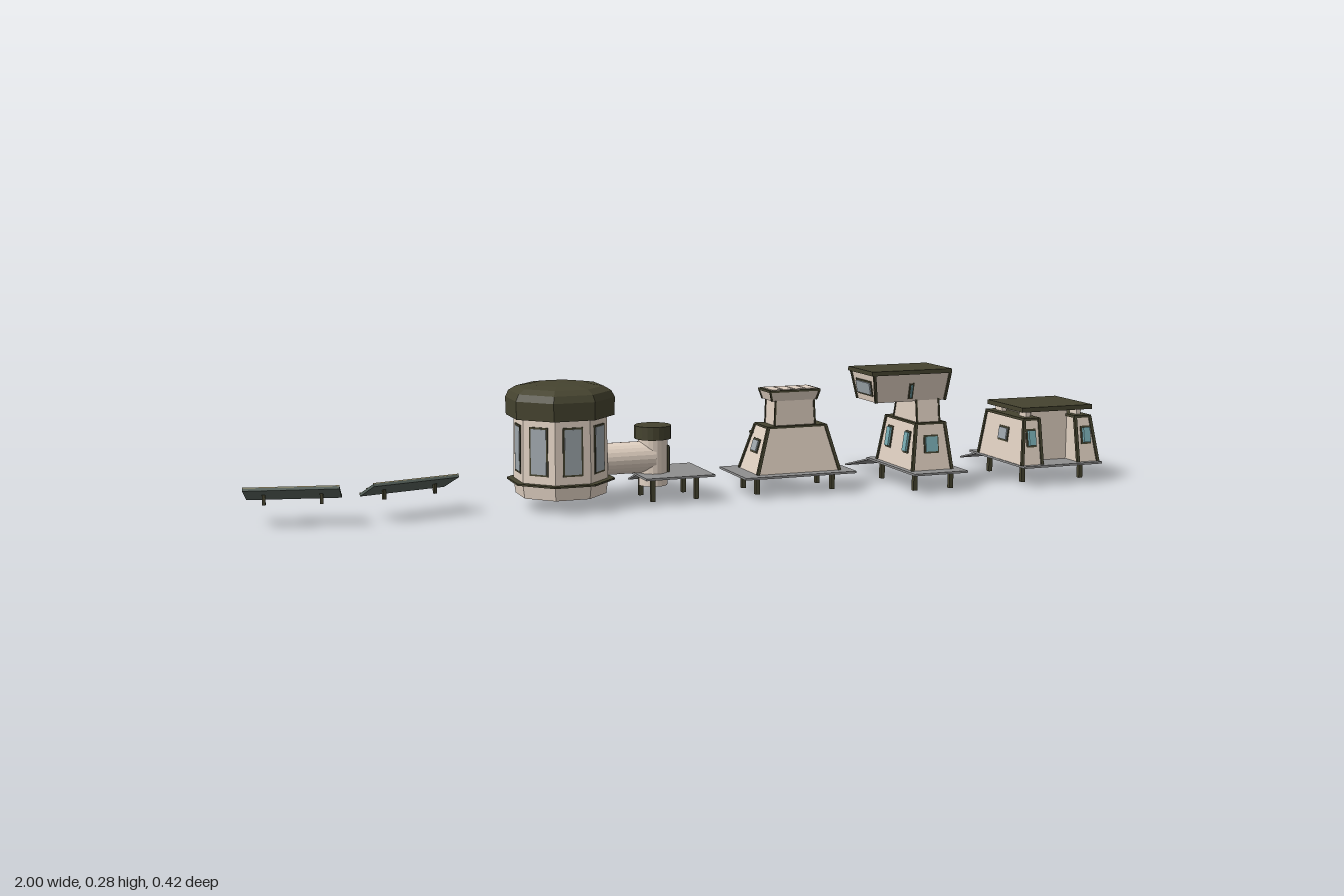
import * as THREE from 'three';

const mat = (color) => new THREE.MeshStandardMaterial({ color, flatShading: true });
const CREAM = mat(0xe2d2c3), DARK = mat(0x45432f), GREY = mat(0x8f8f8f), GLASS = mat(0x9ea6ac);
const TEAL = mat(0x79aeb5), BLUE = mat(0x14237c), FRAME = mat(0x5a665f), GOLD = mat(0xb3a67c);

function add(parent, name, geo, material, x = 0, y = 0, z = 0) {
  const m = new THREE.Mesh(geo, material);
  m.name = name;
  m.position.set(x, y, z);
  parent.add(m);
  return m;
}
const box = (parent, name, w, h, d, material, x, y, z) =>
  add(parent, name, new THREE.BoxGeometry(w, h, d), material, x, y, z);

function group(parent, name) {
  const g = new THREE.Group();
  g.name = name;
  parent.add(g);
  return g;
}

// square bar between two points
function strut(parent, name, a, b, t, material) {
  const dir = b.clone().sub(a);
  const m = box(parent, name, t, dir.length(), t, material);
  m.position.copy(a).addScaledVector(dir, 0.5);
  m.quaternion.setFromUnitVectors(new THREE.Vector3(0, 1, 0), dir.normalize());
}

// glazed opening with a raised frame, facing +z
function pane(parent, name, w, h, glass, bulge = 0.003) {
  const g = group(parent, name);
  box(g, 'paneFrame', w + 0.008, h + 0.008, 0.004, DARK, 0, 0, 0);
  box(g, 'paneGlass', w, h, 0.004 + bulge, glass, 0, 0, bulge / 2);
  return g;
}

// block whose bottom and top rectangles [x0, x1, z0, z1] differ; returns a way to mount parts on its walls
function hull(parent, name, y0, y1, B, T, edge = 0.007) {
  const geo = new THREE.BoxGeometry(1, 1, 1), p = geo.attributes.position;
  for (let i = 0; i < p.count; i++) {
    const R = p.getY(i) > 0 ? T : B;
    p.setXYZ(i, p.getX(i) > 0 ? R[1] : R[0], p.getY(i) > 0 ? y1 : y0, p.getZ(i) > 0 ? R[3] : R[2]);
  }
  geo.computeVertexNormals();
  add(parent, name, geo, CREAM);
  // dark corner bars
  if (edge) for (const i of [0, 1]) for (const k of [2, 3])
    strut(parent, 'cornerBar', new THREE.Vector3(B[i], y0, B[k]), new THREE.Vector3(T[i], y1, T[k]), edge, DARK);
  return (side, along, y, obj) => {
    const [i, yaw] = { right: [0, -Math.PI / 2], left: [1, Math.PI / 2], back: [2, Math.PI], front: [3, 0] }[side];
    const e = THREE.MathUtils.lerp(B[i], T[i], (y - y0) / (y1 - y0));
    obj.position.set(i < 2 ? e : along, y, i < 2 ? along : e);
    obj.rotation.set(-Math.atan2((B[i] - T[i]) * (i % 2 ? 1 : -1), y1 - y0), yaw, 0, 'YXZ');
  };
}

// deck on legs with a ramp leading down at the back
function deck(parent, [x0, x1, z0, z1], y, rampX0, rampX1, legX, legZ) {
  box(parent, 'deck', x1 - x0, 0.005, z1 - z0, GREY, (x0 + x1) / 2, y - 0.0025, (z0 + z1) / 2);
  const run = z0 + 0.21, drop = y - 0.005;
  const ramp = box(parent, 'ramp', rampX1 - rampX0, 0.004, Math.hypot(run, drop), GREY,
    (rampX0 + rampX1) / 2, drop / 2 + 0.0025, (z0 - 0.21) / 2);
  ramp.rotation.x = -Math.atan2(drop, run);
  for (const x of legX) for (const z of legZ) box(parent, 'deckLeg', 0.01, y - 0.008, 0.01, DARK, x, y / 2, z);
}

function solarPanel(root, x, z, yaw) {
  const g = group(root, 'solarPanel');
  g.position.set(x, 0.069, z);
  g.rotation.y = yaw;
  const tilt = group(g, 'tiltedPanel');
  tilt.rotation.x = -0.42;
  box(tilt, 'panelFrame', 0.2, 0.006, 0.082, FRAME);
  for (const s of [-1, 1]) {
    for (let i = 0; i < 6; i++)
      box(tilt, 'solarCell', 0.0305, 0.003, 0.034, BLUE, (i - 2.5) * 0.032, 0.003, s * 0.0195);
    box(tilt, 'panelEdge', 0.2, 0.004, 0.002, GOLD, 0, 0.003, s * 0.04);
    box(g, 'panelLeg', 0.007, 0.022, 0.007, DARK, s * 0.06, -0.013, 0);
  }
  box(tilt, 'panelSpine', 0.2, 0.004, 0.003, GOLD, 0, 0.003, 0);
}

// eight-sided lathe with flat sides facing the axes; radii are to the flats
function octagon(parent, name, profile, material) {
  const pts = profile.map(([r, y]) => new THREE.Vector2(r / Math.cos(Math.PI / 8), y));
  const geo = new THREE.LatheGeometry(pts, 8, Math.PI / 8).toNonIndexed();
  geo.computeVertexNormals();
  return add(parent, name, geo, material);
}

function tower(root) {
  const g = group(root, 'tower');
  g.position.set(-0.302, 0, 0.04);
  octagon(g, 'towerWall', [[0, 0.03], [0.094, 0.03], [0.098, 0.06], [0.096, 0.21], [0, 0.21]], CREAM);
  octagon(g, 'towerLedge', [[0.09, 0.061], [0.112, 0.061], [0.112, 0.065], [0.09, 0.065]], DARK);
  octagon(g, 'towerCap', [[0, 0.207], [0.112, 0.207], [0.113, 0.247], [0.106, 0.262], [0.09, 0.272], [0.06, 0.277], [0, 0.279]], DARK);
  for (let i = 0; i < 8; i++) {
    if (i === 2) continue; // tunnel side
    const a = i * Math.PI / 4;
    const p = pane(g, 'towerWindow', 0.038, 0.1, GLASS, 0.001);
    p.position.set(Math.sin(a) * 0.097, 0.137, Math.cos(a) * 0.097);
    p.rotation.y = a;
  }
  // tunnel and entrance turret
  const tunnel = add(g, 'tunnel', new THREE.CylinderGeometry(0.036, 0.036, 0.13, 24), CREAM, 0.15, 0.1, 0);
  tunnel.rotation.z = Math.PI / 2;
  add(g, 'turretWall', new THREE.CylinderGeometry(0.033, 0.033, 0.11, 20), CREAM, 0.218, 0.09, 0);
  add(g, 'turretCap', new THREE.CylinderGeometry(0.042, 0.042, 0.03, 20), DARK, 0.218, 0.157, 0);
  const door = pane(g, 'turretDoor', 0.026, 0.055, GLASS);
  door.position.set(0.25, 0.094, 0);
  door.rotation.y = Math.PI / 2;
}

function terraceHouse(root) {
  const g = group(root, 'terraceHouse');
  deck(g, [0.112, 0.39, -0.043, 0.123], 0.05, 0.203, 0.3, [0.155, 0.345], [0.0, 0.084]);
  const put = hull(g, 'lowerWalls', 0.05, 0.156, [0.152, 0.358, -0.016, 0.096], [0.184, 0.328, 0.004, 0.08]);
  put('back', 0.255, 0.085, pane(g, 'door', 0.05, 0.06, GLASS));
  for (const s of [-1, 1]) {
    put('back', 0.255 + s * 0.055, 0.115, pane(g, 'backWindow', 0.024, 0.026, TEAL, 0.005));
    put(s < 0 ? 'right' : 'left', 0.04, 0.11, pane(g, 'sideWindow', 0.03, 0.026, GLASS));
  }
  box(g, 'doorCanopy', 0.16, 0.005, 0.02, DARK, 0.255, 0.135, -0.004);
  box(g, 'terraceRim', 0.15, 0.005, 0.08, DARK, 0.256, 0.156, 0.042);
  const putUp = hull(g, 'upperWalls', 0.157, 0.216, [0.204, 0.306, 0.014, 0.07], [0.206, 0.302, 0.014, 0.07], 0.004);
  putUp('back', 0.254, 0.19, pane(g, 'upperWindow', 0.07, 0.022, TEAL));
  hull(g, 'roofBlock', 0.216, 0.238, [0.197, 0.308, 0.014, 0.07], [0.19, 0.314, 0.01, 0.076], 0.004);
  box(g, 'roofRim', 0.128, 0.005, 0.07, DARK, 0.252, 0.239, 0.043);
  for (let i = 0; i < 4; i++) box(g, 'roofSlat', 0.026, 0.004, 0.06, CREAM, 0.252 + (i - 1.5) * 0.029, 0.241, 0.043);
}

function lookout(root) {
  const g = group(root, 'lookout');
  deck(g, [0.497, 0.636, -0.043, 0.208], 0.05, 0.52, 0.61, [0.518, 0.612], [0.0, 0.168]);
  const put = hull(g, 'lowerWalls', 0.05, 0.158, [0.51, 0.612, -0.01, 0.172], [0.526, 0.6, 0.004, 0.154]);
  put('back', 0.562, 0.09, pane(g, 'door', 0.05, 0.07, GLASS));
  put('front', 0.562, 0.11, pane(g, 'frontWindow', 0.03, 0.035, TEAL));
  for (const side of ['right', 'left']) for (const z of [0.035, 0.125])
    put(side, z, 0.112, pane(g, 'sideWindow', 0.018, 0.045, TEAL, 0.005));
  box(g, 'lowerRim', 0.08, 0.005, 0.156, DARK, 0.563, 0.158, 0.079);
  hull(g, 'neck', 0.16, 0.214, [0.532, 0.59, 0.03, 0.148], [0.532, 0.59, 0.045, 0.141], 0.004);
  const putUp = hull(g, 'cabin', 0.21, 0.277, [0.428, 0.606, 0.045, 0.141], [0.416, 0.612, 0.033, 0.155], 0.006);
  for (const x of [0.46, 0.515, 0.57]) putUp('back', x, 0.242, pane(g, 'cabinWindow', 0.03, 0.028, GLASS));
  putUp('right', 0.093, 0.242, pane(g, 'endWindow', 0.07, 0.028, GLASS));
  putUp('front', 0.515, 0.235, pane(g, 'frontSlit', 0.004, 0.03, TEAL));
  box(g, 'cabinRoof', 0.206, 0.01, 0.128, DARK, 0.512, 0.28, 0.094);
}

function twinHouse(root) {
  const g = group(root, 'twinHouse');
  deck(g, [0.786, 1.0, -0.05, 0.21], 0.05, 0.85, 0.93, [0.812, 0.972], [0.005, 0.158]);
  // two wings either side of a recessed hall
  for (const s of [-1, 1]) {
    const rect = (inner, outer, z0, z1) => {
      const a = 0.892 + s * inner, b = 0.892 + s * outer;
      return [Math.min(a, b), Math.max(a, b), z0, z1];
    };
    const put = hull(g, 'wing', 0.05, 0.156, rect(0.05, 0.104, -0.008, 0.196), rect(0.05, 0.09, 0.004, 0.176));
    put(s < 0 ? 'right' : 'left', 0.095, 0.113, pane(g, 'sideWindow', 0.036, 0.028, GLASS));
    for (const side of ['front', 'back']) put(side, 0.892 + s * 0.075, 0.113, pane(g, 'wingWindow', 0.018, 0.036, TEAL, 0.007));
    box(g, 'wingRim', 0.046, 0.006, 0.178, DARK, 0.892 + s * 0.07, 0.157, 0.09);
    for (const z of [0.035, 0.145]) box(g, 'roofPost', 0.012, 0.02, 0.03, CREAM, 0.892 + s * 0.07, 0.167, z);
  }
  const put = hull(g, 'hall', 0.05, 0.174, [0.842, 0.942, 0.035, 0.14], [0.842, 0.942, 0.035, 0.14], 0);
  put('back', 0.892, 0.093, pane(g, 'door', 0.05, 0.075, GLASS));
  box(g, 'roof', 0.192, 0.011, 0.163, DARK, 0.892, 0.1795, 0.0955);
}

export function createModel() {
  const root = new THREE.Group();
  root.name = 'outpost';
  solarPanel(root, -0.893, 0.044, -0.21);
  solarPanel(root, -0.643, 0.042, 0.24);
  tower(root);
  const entrance = group(root, 'entranceDeck');
  deck(entrance, [-0.128, 0.037, -0.043, 0.123], 0.064, -0.06, 0.027, [-0.1, 0.005], [0.0, 0.084]);
  terraceHouse(root);
  lookout(root);
  twinHouse(root);
  return root;
}
